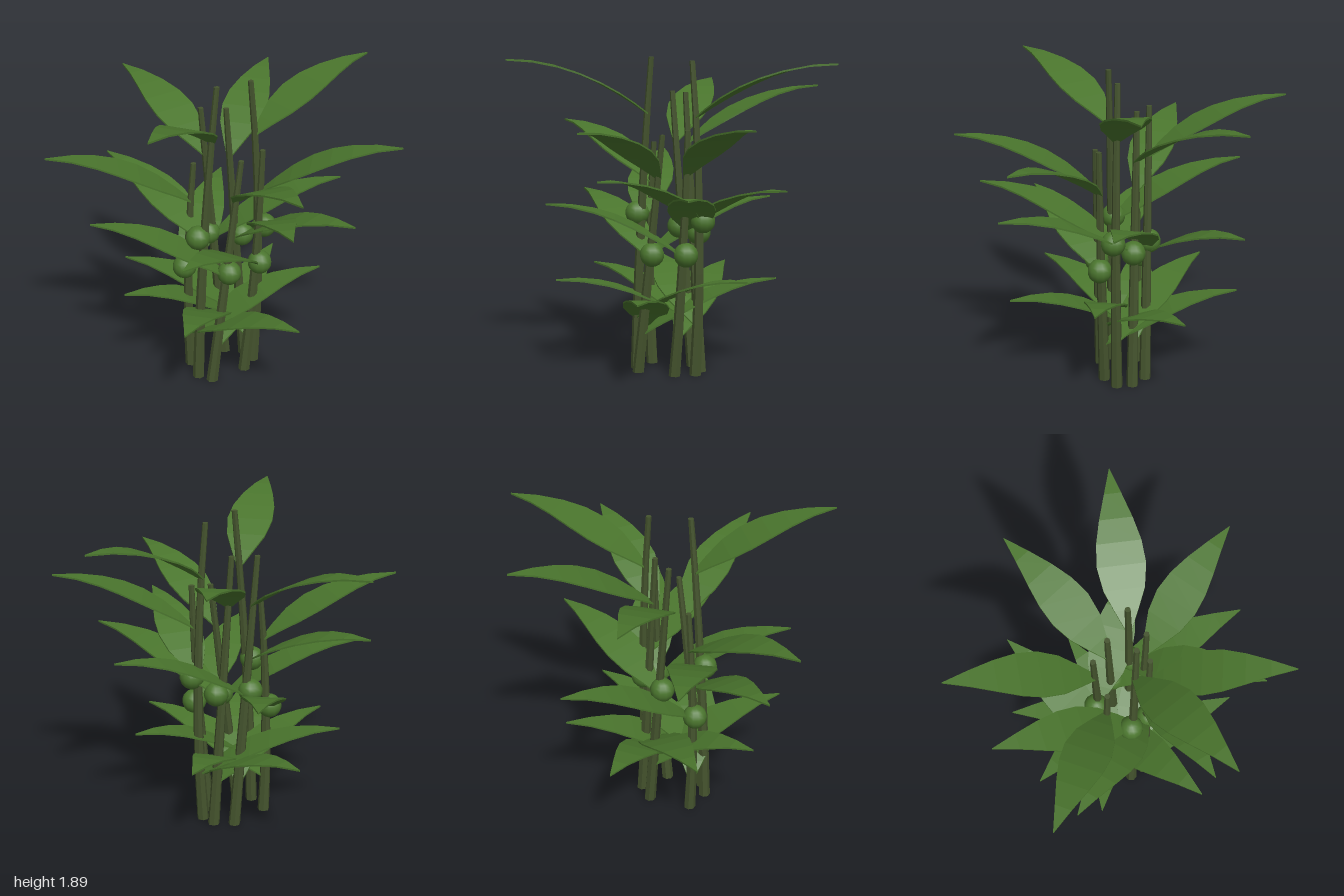
import * as THREE from 'three';

const stemMat = new THREE.MeshStandardMaterial({ color: 0x44532d, flatShading: true });
stemMat.name = 'stem olive';
const leafMat = new THREE.MeshStandardMaterial({ color: 0x4a752d, flatShading: true });
leafMat.name = 'leaf green';
const fruitMat = new THREE.MeshStandardMaterial({ color: 0x4b762e });
fruitMat.name = 'fruit green';

// Each cane: base x, z; top x, y, z; sideways bow; fruit centre; tips of its low, middle and high leaf
const canes = [
  { base: [-0.17, 0.065], top: [-0.05, 1.89, 0.065], bow: -0.018, fruit: [-0.165, 0.957, 0.06],
    tips: [[0.62, 0.625, 0.02], [-0.545, 1.255, -0.665], [-0.6, 1.88, 0.71]] },
  { base: [0.21, -0.03], top: [0.18, 1.87, -0.03], bow: 0.04, fruit: [0.27, 0.942, -0.02],
    tips: [[-0.5, 0.625, -0.435], [0.17, 1.245, 0.79], [1.0, 1.865, -0.3]] },
  { base: [0.18, -0.12], top: [0.06, 1.68, -0.12], bow: 0, fruit: [0.16, 0.85, -0.12],
    tips: [[-0.6, 0.59, -0.03], [0.62, 1.155, 0.565], [0.54, 1.705, -0.81]] },
  { base: [0.07, -0.18], top: [-0.08, 1.68, -0.17], bow: 0, fruit: [-0.035, 0.86, -0.18],
    tips: [[-0.38, 0.595, 0.545], [0.79, 1.15, -0.12], [-0.37, 1.71, -0.94]] },
  { base: [-0.175, -0.09], top: [-0.15, 1.375, -0.08], bow: -0.025, fruit: [-0.21, 0.695, -0.09],
    tips: [[0.29, 0.545, 0.6], [0.22, 1.0, -0.775], [-1.0, 1.455, -0.2]] },
  { base: [0.125, 0.062], top: [0.225, 1.475, 0.07], bow: 0.015, fruit: [0.215, 0.745, 0.07],
    tips: [[-0.08, 0.56, -0.71], [-0.4, 1.05, 0.605], [0.95, 1.54, 0.415]] },
  { base: [-0.1, 0.13], top: [0.08, 1.445, 0.12], bow: 0, fruit: [0.007, 0.732, 0.13],
    tips: [[0.48, 0.555, -0.475], [-0.77, 1.035, -0.13], [0.165, 1.52, 0.94]] },
];
const leafHeights = [0.165, 0.495, 0.825];

// Leaf outline: distance along the leaf, share of the full width
const outline = [[0, 0.15], [0.1, 0.48], [0.22, 0.84], [0.36, 1], [0.5, 0.92], [0.65, 0.68], [0.82, 0.35], [1, 0.01]];
const halfThickness = 0.005;

// Centre line of a cane, t from 0 at the ground to 1 at the top
function canePoint({ base, top, bow }, t) {
  return new THREE.Vector3(base[0], 0, base[1])
    .lerp(new THREE.Vector3(...top), t)
    .add(new THREE.Vector3(bow * 4 * t * (1 - t), 0, 0));
}

// Thin solid blade that rises steeply and levels out at the tip
function makeLeaf(from, tip) {
  const dir = new THREE.Vector3(tip.x - from.x, 0, tip.z - from.z);
  const halfWidth = dir.length() * 0.165;
  const side = new THREE.Vector3(dir.z, 0, -dir.x).normalize();
  const pos = [], index = [];
  outline.forEach(([t, w], i) => {
    const p = from.clone().addScaledVector(dir, t);
    p.y += (tip.y - from.y) * (1 - (1 - t) ** 2);
    // four corners: upper pair, then lower pair
    for (const [s, v] of [[-1, 1], [1, 1], [1, -1], [-1, -1]]) {
      const q = p.clone().addScaledVector(side, s * w * halfWidth);
      pos.push(q.x, q.y + v * halfThickness, q.z);
    }
    if (i === 0) return;
    const a = 4 * (i - 1);
    for (let k = 0; k < 4; k++) {
      const n = (k + 1) % 4;
      index.push(a + k, a + 4 + n, a + n, a + k, a + 4 + k, a + 4 + n);
    }
  });
  // end caps at the stalk and the tip
  const e = 4 * (outline.length - 1);
  index.push(0, 1, 2, 0, 2, 3, e, e + 2, e + 1, e, e + 3, e + 2);
  const geo = new THREE.BufferGeometry();
  geo.setAttribute('position', new THREE.Float32BufferAttribute(pos, 3));
  geo.setIndex(index);
  geo.computeVertexNormals();
  const leaf = new THREE.Mesh(geo, leafMat);
  leaf.name = 'leaf';
  return leaf;
}

// Tapered seven-sided cane whose rings follow the centre line
function makeStem(c) {
  const height = c.top[1];
  const geo = new THREE.CylinderGeometry(0.017, 0.036, height, 7, 6);
  const p = geo.attributes.position;
  for (let i = 0; i < p.count; i++) {
    const mid = canePoint(c, p.getY(i) / height + 0.5);
    p.setXYZ(i, p.getX(i) + mid.x, mid.y, p.getZ(i) + mid.z);
  }
  geo.computeVertexNormals();
  const stem = new THREE.Mesh(geo, stemMat);
  stem.name = 'stem';
  return stem;
}

export function createModel() {
  const model = new THREE.Group();
  model.name = 'plant';
  const fruitGeo = new THREE.SphereGeometry(0.073, 12, 9);
  for (const c of canes) {
    const cane = new THREE.Group();
    cane.name = 'cane';
    cane.add(makeStem(c));

    const fruit = new THREE.Mesh(fruitGeo, fruitMat);
    fruit.position.set(...c.fruit);
    fruit.name = 'fruit';
    cane.add(fruit);

    c.tips.forEach((tip, i) => {
      cane.add(makeLeaf(canePoint(c, leafHeights[i]), new THREE.Vector3(...tip)));
    });
    model.add(cane);
  }
  return model;
}
